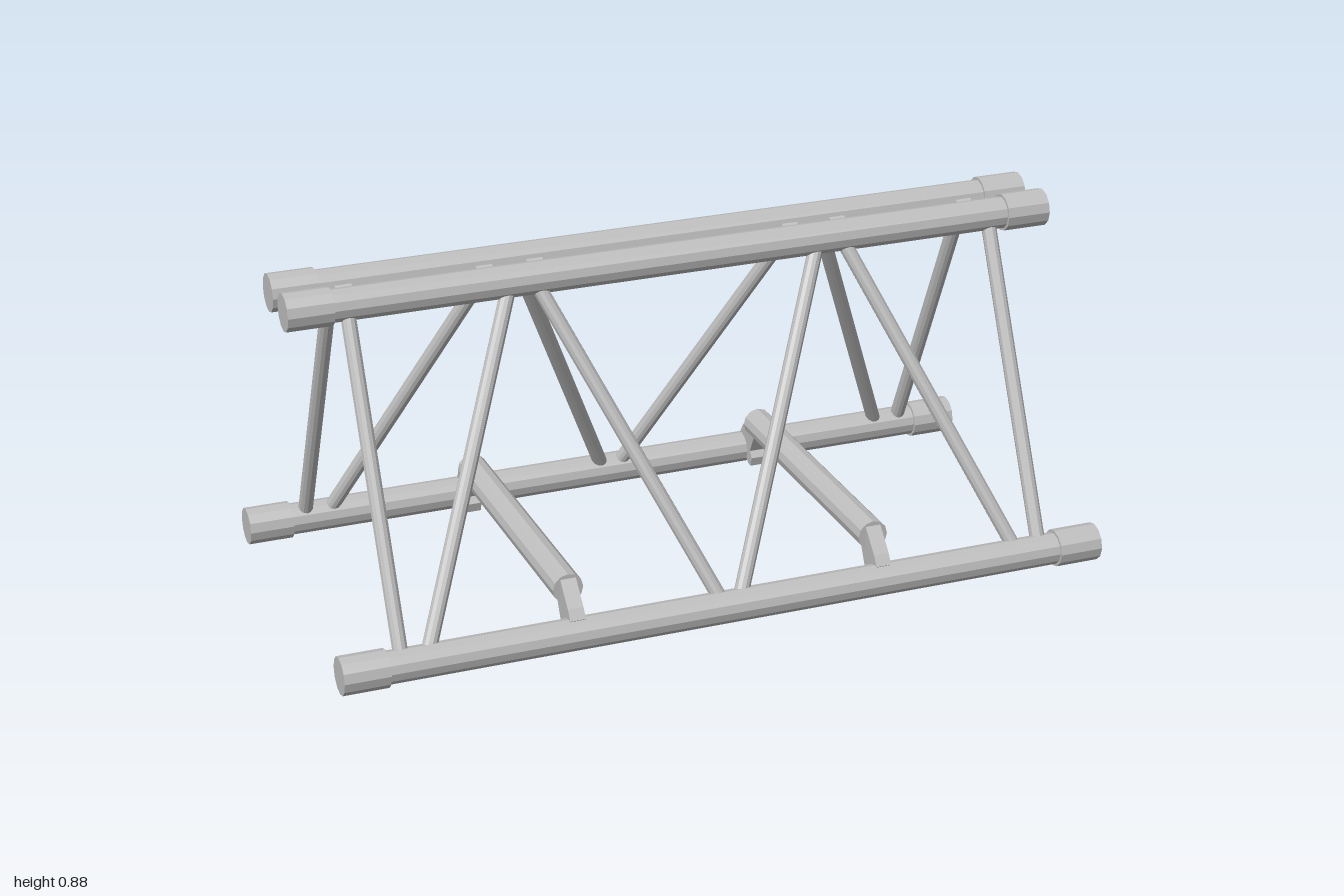
import * as THREE from 'three';

const steel = new THREE.MeshStandardMaterial({ color: 0xbebebe, flatShading: true });
steel.name = 'steel grey';

const LOW = { y: 0.05, z: 0.435 };
const HIGH = { y: 0.835, z: 0.068 };

// Round tube between two points
function tube(name, a, b, radius, sides = 12) {
  const dir = b.clone().sub(a);
  const geo = new THREE.CylinderGeometry(radius, radius, dir.length(), sides);
  const mesh = new THREE.Mesh(geo, steel);
  mesh.name = name;
  mesh.position.copy(a).add(b).multiplyScalar(0.5);
  mesh.quaternion.setFromUnitVectors(new THREE.Vector3(0, 1, 0), dir.normalize());
  return mesh;
}

// Flat plate drawn in the z-y plane and given a width along x
function plate(name, points, x, width, side) {
  let pts = points.map(([z, y]) => new THREE.Vector2(-z * side, y));
  const geo = new THREE.ExtrudeGeometry(new THREE.Shape(pts), { depth: width, bevelEnabled: false });
  geo.translate(0, 0, -width / 2);
  geo.rotateY(Math.PI / 2);
  const mesh = new THREE.Mesh(geo, steel);
  mesh.name = name;
  mesh.position.x = x;
  // after the turn, shape x runs along -z
  return mesh;
}

const v = (x, y, z) => new THREE.Vector3(x, y, z);

export function createModel() {
  const model = new THREE.Group();
  model.name = 'trussSection';

  for (const s of [1, -1]) {
    const frame = new THREE.Group();
    frame.name = s > 0 ? 'frontFrame' : 'backFrame';
    model.add(frame);

    // Main chords with end sleeves
    for (const [label, c] of [['lower', LOW], ['upper', HIGH]]) {
      const at = (x) => v(x, c.y, c.z * s);
      frame.add(tube(label + 'Chord', at(-0.99), at(0.99), 0.041));
      for (const e of [-1, 1]) frame.add(tube(label + 'Sleeve', at(0.885 * e), at(e), 0.048));
    }

    // Upright struts and diagonals: [lower x, upper x]
    for (const e of [-1, 1]) {
      for (const [x0, x1] of [[0.845, 0.845], [0.785, 0.435], [0.018, 0.376]]) {
        const name = x0 === x1 ? 'endStrut' : 'diagonalStrut';
        frame.add(tube(name, v(x0 * e, LOW.y, LOW.z * s), v(x1 * e, HIGH.y, HIGH.z * s), 0.019));
      }
      // Hooked brackets holding the spreader bars
      frame.add(plate('spreaderBracket', [
        [0.445, 0.09], [0.428, 0.115], [0.37, 0.175], [0.35, 0.175], [0.35, 0.11],
        [0.36, 0.09], [0.375, 0.06], [0.363, 0.043], [0.37, 0.018], [0.388, 0.02], [0.41, 0.04],
      ], 0.405 * e, 0.04, s));
    }
  }

  // Spreader bars across the base
  for (const x of [-0.405, 0.405]) {
    model.add(tube('spreaderBar', v(x, 0.143, -0.375), v(x, 0.143, 0.375), 0.039));
  }

  // Hinge knuckles between the upper chords: [centre x, width, chord side]
  const knuckles = [[0.825, 0.042, -1], [0.783, 0.042, 1], [0.47, 0.042, -1], [0.405, 0.088, 1], [0.34, 0.042, -1]];
  for (const e of [-1, 1]) {
    for (const [x, w, s] of knuckles) {
      model.add(tube('hingeKnuckle', v(x * e - w / 2, 0.802, 0), v(x * e + w / 2, 0.802, 0), 0.03));
      model.add(plate('hingeTab', [
        [-0.012, 0.825], [0.012, 0.777], [0.075, 0.807], [0.055, 0.858],
      ], x * e, w, s));
    }
  }
  return model;
}
